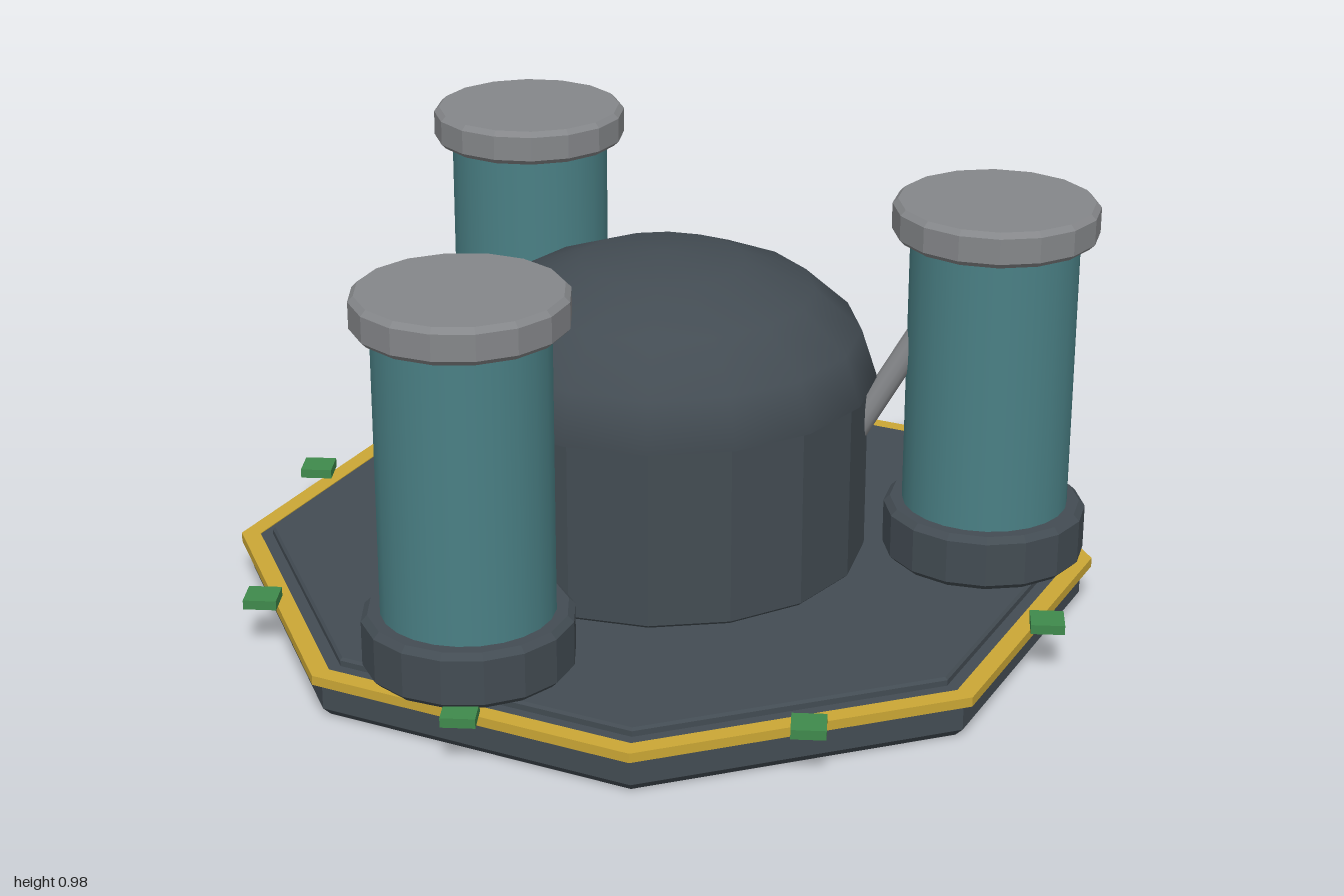
import * as THREE from 'three';

const mat = (name, color) => {
  const m = new THREE.MeshStandardMaterial({ color });
  m.name = name;
  return m;
};

export function createModel() {
  const dark = mat('dark slate', 0x434c53);
  const grey = mat('light grey metal', 0x85878a);
  const teal = mat('teal glass', 0x4a8085);
  const gold = mat('yellow trim', 0xcba735);
  const green = mat('green light', 0x3f8a4c);

  const model = new THREE.Group();
  model.name = 'tankStation';

  const add = (parent, name, geometry, material, x = 0, y = 0, z = 0) => {
    const mesh = new THREE.Mesh(geometry, material);
    mesh.name = name;
    mesh.position.set(x, y, z);
    parent.add(mesh);
    return mesh;
  };

  // Faceted solid of revolution from [radius, height] pairs
  const faceted = (profile, sides) => {
    const points = profile.map(([r, y]) => new THREE.Vector2(r, y));
    const g = new THREE.LatheGeometry(points, sides).toNonIndexed();
    g.computeVertexNormals();
    return g;
  };

  // Closed drum with chamfered rims
  const drum = (r, y0, y1, bevel, sides) => faceted([
    [0, y0], [r - bevel, y0], [r, y0 + bevel],
    [r, y1 - bevel], [r - bevel, y1], [0, y1],
  ], sides);

  // Octagonal platform
  add(model, 'platformBase', drum(0.975, 0, 0.106, 0.02, 8), dark);
  add(model, 'platformDeck', drum(0.925, 0.1, 0.125, 0.006, 8), dark);
  add(model, 'platformTrim', faceted([
    [0.955, 0.086], [1, 0.086], [1, 0.108], [0.955, 0.108], [0.955, 0.086],
  ], 8), gold);

  // Small lights, one at the middle of each platform edge
  for (let i = 0; i < 8; i++) {
    const a = Math.PI / 8 + i * Math.PI / 4;
    add(model, 'edgeLight', new THREE.BoxGeometry(0.075, 0.022, 0.075), green,
      0.952 * Math.cos(a), 0.119, 0.952 * Math.sin(a));
  }

  // Central building with a flattened dome
  add(model, 'centralDrum', drum(0.47, 0.12, 0.555, 0.012, 16), dark);
  const domeShell = new THREE.SphereGeometry(0.49, 16, 4, 0, Math.PI * 2, 0, Math.PI / 2);
  domeShell.scale(1, 0.6, 1);
  add(model, 'dome', domeShell, dark, 0, 0.55, 0);
  const underside = new THREE.CircleGeometry(0.49, 16);
  underside.rotateX(Math.PI / 2);
  add(model, 'domeUnderside', underside, dark, 0, 0.55, 0);

  // Three tanks around the dome, each joined to it by a slanted pipe
  const pipeStart = new THREE.Vector3(0.42, 0.375, 0);
  const pipeEnd = new THREE.Vector3(0.61, 0.705, 0);
  for (let i = 0; i < 3; i++) {
    const arm = new THREE.Group();
    arm.name = 'tankUnit';
    arm.rotation.y = i * Math.PI * 2 / 3;
    model.add(arm);

    add(arm, 'tankFoot', drum(0.232, 0.125, 0.255, 0.014, 16), dark, 0.745);
    add(arm, 'tankGlass', new THREE.CylinderGeometry(0.19, 0.19, 0.68, 24), teal, 0.745, 0.57, 0);
    add(arm, 'tankCap', drum(0.232, 0.898, 0.98, 0.012, 16), grey, 0.745);

    const dir = pipeEnd.clone().sub(pipeStart);
    const pipe = add(arm, 'feedPipe', new THREE.CylinderGeometry(0.029, 0.029, dir.length(), 12), grey);
    pipe.position.copy(pipeStart).lerp(pipeEnd, 0.5);
    pipe.quaternion.setFromUnitVectors(new THREE.Vector3(0, 1, 0), dir.normalize());
  }

  return model;
}
